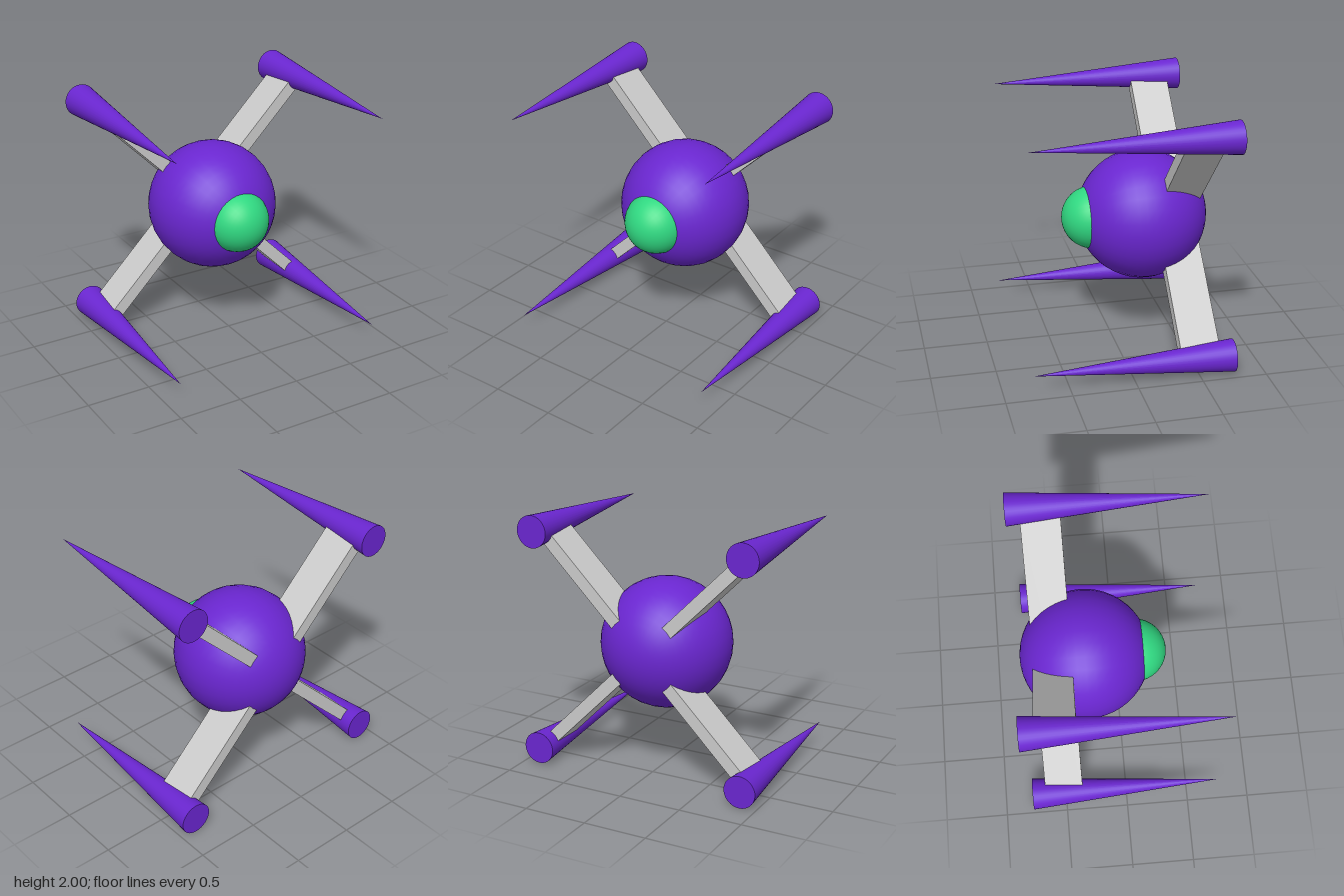
import * as THREE from 'three';

export function createModel() {
  const model = new THREE.Group();
  const purple = new THREE.MeshStandardMaterial({ color: 0x6a26d0 });
  const green = new THREE.MeshStandardMaterial({ color: 0x30d881 });
  const grey = new THREE.MeshStandardMaterial({ color: 0xcccccc });

  const midY = 1.002; // height of the hull centre
  const reach = 0.873; // sideways and vertical offset of the spikes

  function add(name, geometry, material, x, y, z) {
    const mesh = new THREE.Mesh(geometry, material);
    mesh.name = name;
    mesh.position.set(x, y, z);
    model.add(mesh);
    return mesh;
  }

  // Round hull with a cockpit dome sunk into its front
  const ball = (r) => new THREE.SphereGeometry(r, 32, 24).rotateX(Math.PI / 2);
  add('hull', ball(0.511), purple, 0, midY, -0.258);
  add('cockpitDome', ball(0.248), green, 0, midY, 0.132);

  // Two flat struts crossing diagonally through the hull
  const strutGeometry = new THREE.BoxGeometry(2 * reach * Math.SQRT2, 0.1, 0.305);
  for (const side of [1, -1]) {
    const strut = add('strut', strutGeometry, grey, 0, midY, -0.512);
    strut.rotation.z = (side * Math.PI) / 4;
  }

  // Forward-pointing spikes at the strut ends
  const spikeGeometry = new THREE.ConeGeometry(0.127, 1.54, 32).rotateX(Math.PI / 2);
  for (const [sideName, sx] of [['left', 1], ['right', -1]]) {
    for (const [levelName, sy] of [['Upper', 1], ['Lower', -1]]) {
      add(`${sideName}${levelName}Spike`, spikeGeometry, purple, sx * reach, midY + sy * reach, 0);
    }
  }

  return model;
}
